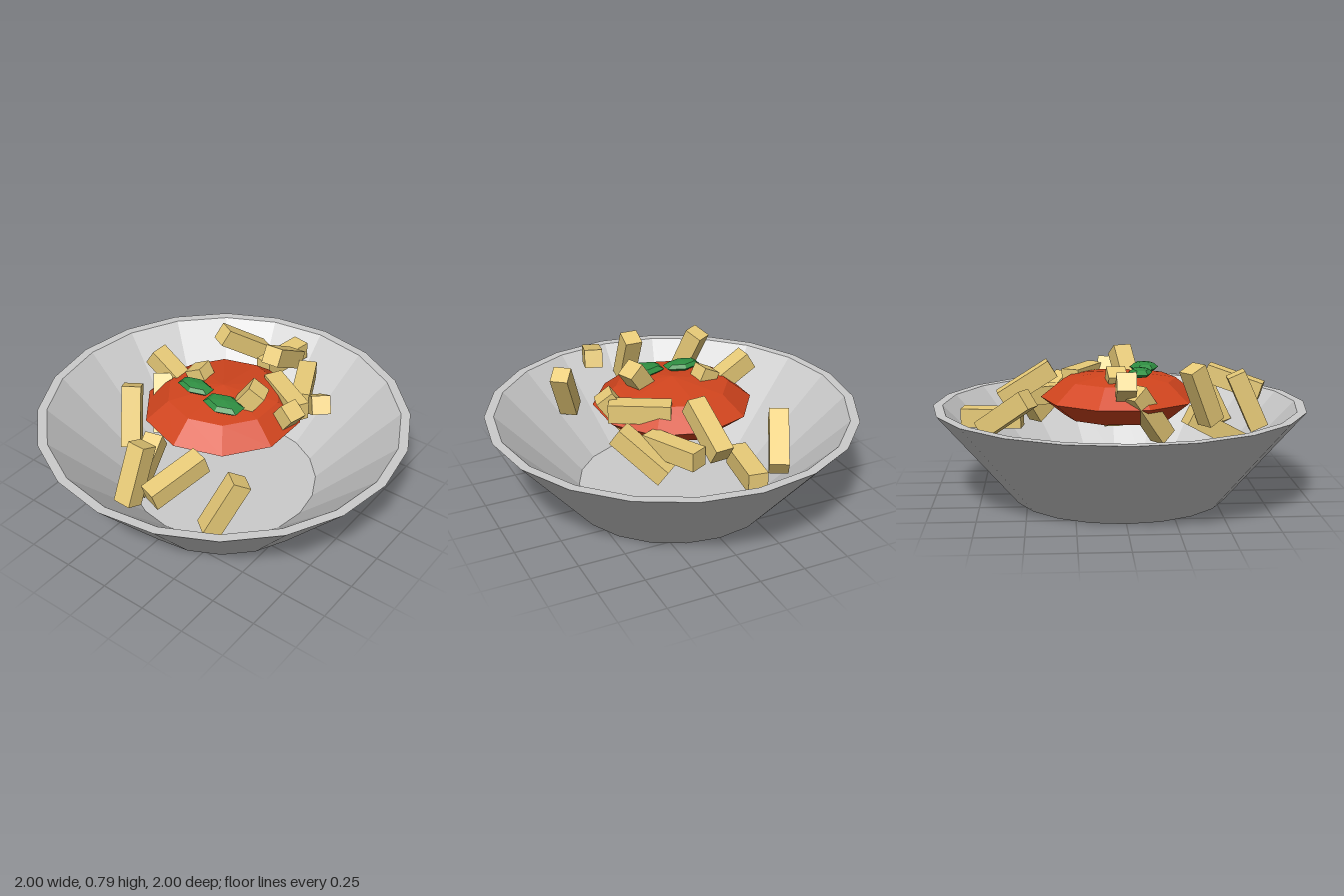
import * as THREE from 'three';

const flat = (color) => new THREE.MeshStandardMaterial({ color, flatShading: true });

// Squashed low-poly sphere with corners pointing along z
function blob(name, sides, rx, ry, rz, pos, material) {
  const g = new THREE.SphereGeometry(1, sides, 4);
  g.rotateY(Math.PI / 2);
  g.scale(rx, ry, rz);
  const mesh = new THREE.Mesh(g, material);
  mesh.position.set(...pos);
  mesh.name = name;
  return mesh;
}

export function createModel() {
  const model = new THREE.Group();
  model.name = 'foodBowl';

  // Thick-walled bowl: underside, outer wall, rim, inner wall, floor
  const profile = [[0, 0], [0.575, 0], [1, 0.5], [0.95, 0.5], [0.515, 0.055], [0, 0.055]]
    .map(([r, y]) => new THREE.Vector2(r, y));
  const bowl = new THREE.Mesh(new THREE.LatheGeometry(profile, 20), flat(0xcccccc));
  bowl.name = 'bowl';
  model.add(bowl);

  // Mound of sauce
  model.add(blob('sauce', 10, 0.425, 0.14, 0.425, [0, 0.54, 0], flat(0xd2451e)));

  // Two leaves on top
  const green = flat(0x2f8f42);
  model.add(blob('leafRight', 6, 0.11, 0.025, 0.063, [-0.105, 0.685, 0.103], green));
  model.add(blob('leafLeft', 6, 0.122, 0.028, 0.078, [0.105, 0.68, 0.138], green));

  // Sticks: centre x, y, z, then heading and upward pitch of the raised end
  const sticks = [
    [-0.31, 0.51, -0.60, -0.49, 0.60],
    [-0.085, 0.45, -0.68, -0.15, 0],
    [0.043, 0.605, -0.50, 0.09, 0.55],
    [0.21, 0.51, -0.46, 0.456, 0],
    [0.345, 0.48, -0.385, 0.73, 0.60],
    [0.27, 0.615, -0.19, 1.07, 0],
    [0.323, 0.54, -0.065, 1.34, 0.95],
    [0.149, 0.63, 0.043, 1.93, 0.95],
    [-0.125, 0.56, -0.035, -1.45, 1.10],
    [-0.32, 0.615, 0.01, -1.58, 0.55],
    [-0.31, 0.50, 0.13, -2.50, 0.90],
    [-0.288, 0.594, 0.406, -2.56, 1.14],
    [-0.14, 0.39, 0.49, -2.89, 0.50],
    [-0.035, 0.514, 0.685, 3.12, 1.15],
    [0.20, 0.577, 0.65, 2.83, 0.30],
    [0.41, 0.44, 0.54, 2.50, 1.05],
  ];
  const stickGeometry = new THREE.BoxGeometry(0.1, 0.1, 0.32);
  const yellow = flat(0xe8cb78);
  const pile = new THREE.Group();
  pile.name = 'sticks';
  sticks.forEach(([x, y, z, heading, pitch], i) => {
    const stick = new THREE.Mesh(stickGeometry, yellow);
    stick.name = `stick${i + 1}`;
    stick.position.set(x, y, z);
    stick.rotation.set(-pitch, heading, 0, 'YXZ');
    pile.add(stick);
  });
  model.add(pile);

  return model;
}
